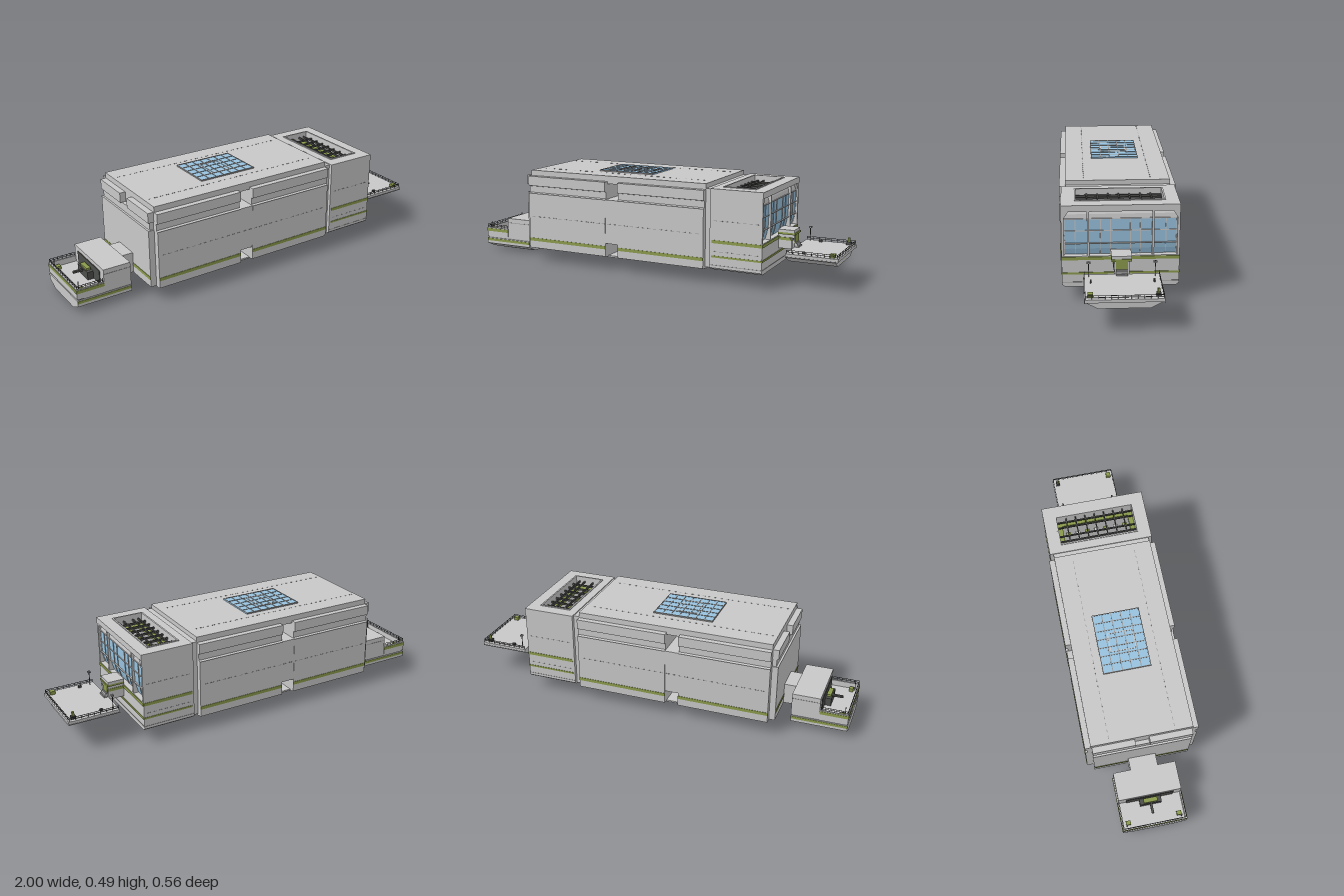
import * as THREE from 'three';

const paint = (name, color) => {
  const m = new THREE.MeshStandardMaterial({ color });
  m.name = name;
  return m;
};

export function createModel() {
  const root = new THREE.Group();
  root.name = 'station';
  const grey = paint('hull grey', 0xc8c8c8);
  const trim = paint('trim grey', 0x969696);
  const dark = paint('dark grey', 0x4c4e4b);
  const green = paint('olive green', 0x8a9a4c);
  const blue = paint('window blue', 0x98c2de);

  const add = (name, mat, geo) => {
    const mesh = new THREE.Mesh(geo, mat);
    mesh.name = name;
    root.add(mesh);
    return mesh;
  };
  // box given by its limits
  const box = (name, mat, x0, x1, y0, y1, z0, z1) =>
    add(name, mat, new THREE.BoxGeometry(x1 - x0, y1 - y0, z1 - z0)
      .translate((x0 + x1) / 2, (y0 + y1) / 2, (z0 + z1) / 2));
  const shapeOf = (pts) => new THREE.Shape(pts.map(([a, b]) => new THREE.Vector2(a, b)));
  // half section of [z, y] points, mirrored and run along x
  const prismX = (name, mat, half, x0, x1) => {
    const pts = [...half, ...half.map(([z, y]) => [-z, y]).reverse()];
    return add(name, mat, new THREE.ExtrudeGeometry(shapeOf(pts), { depth: x1 - x0, bevelEnabled: false })
      .rotateY(Math.PI / 2).translate(x0, 0, 0));
  };
  // section of [x, y] points run along z
  const prismZ = (name, mat, pts, z0, z1) =>
    add(name, mat, new THREE.ExtrudeGeometry(shapeOf(pts), { depth: z1 - z0, bevelEnabled: false })
      .translate(0, 0, z0));
  // flat rectangle with a rectangular opening, run along y
  const ring = (name, mat, [x0, x1, z], [hx0, hx1, hz], y0, y1) => {
    const s = shapeOf([[x0, -z], [x1, -z], [x1, z], [x0, z]]);
    s.holes.push(shapeOf([[hx0, -hz], [hx0, hz], [hx1, hz], [hx1, -hz]]));
    return add(name, mat, new THREE.ExtrudeGeometry(s, { depth: y1 - y0, bevelEnabled: false })
      .rotateX(-Math.PI / 2).translate(0, y0, 0));
  };
  const sides = [-1, 1];
  // thin plate on both long sides
  const sidePlates = (name, mat, x0, x1, y0, y1, z, t = 0.002) => {
    for (const s of sides) box(name, mat, x0, x1, y0, y1, s * z - t, s * z + t);
  };
  const dashes = (name, x0, x1, n, y, z) => {
    const step = (x1 - x0) / n;
    for (let i = 0; i < n; i++) sidePlates(name, trim, x0 + i * step, x0 + (i + 0.55) * step, y, y + 0.003, z, 0.001);
  };

  // Main hall, split by a narrow slot
  const hall = [[0.265, 0.068], [0.278, 0.072], [0.278, 0.365], [0.267, 0.369], [0.267, 0.402],
    [0.278, 0.405], [0.278, 0.455]];
  prismX('hallRear', grey, hall, -0.63, -0.17);
  prismX('hallFront', grey, hall, -0.10, 0.37);
  box('slotWall', grey, -0.17, -0.10, 0.14, 0.365, -0.276, 0.276);
  box('slotCeiling', grey, -0.17, -0.10, 0.443, 0.456, -0.25, 0.25);
  box('hallFloor', grey, -0.62, 0.37, 0.064, 0.072, -0.25, 0.25);
  box('hallRoof', grey, -0.63, 0.37, 0.455, 0.483, -0.25, 0.25);
  for (const [a, b] of [[-0.63, -0.17], [-0.10, 0.37]]) {
    sidePlates('hallStripe', green, a, b, 0.11, 0.126, 0.278);
    sidePlates('hallLip', trim, a, b, 0.362, 0.365, 0.278, 0.001);
  }
  dashes('hallSeam', -0.61, 0.36, 30, 0.24, 0.278);
  for (const z of [-0.16, 0.16])
    for (let i = 0; i < 30; i++)
      box('roofSeam', trim, -0.61 + i * 0.032, -0.595 + i * 0.032, 0.482, 0.484, z, z + 0.003);

  // Rear wall with groove and notch
  box('rearWall', grey, -0.66, -0.63, 0.072, 0.365, -0.245, 0.245);
  box('rearGroove', grey, -0.65, -0.63, 0.365, 0.405, -0.24, 0.24);
  for (const s of sides)
    box('rearUpperWall', grey, -0.66, -0.63, 0.405, 0.455, s > 0 ? 0.035 : -0.245, s > 0 ? 0.245 : -0.035);
  box('rearStripe', green, -0.662, -0.658, 0.11, 0.126, -0.245, 0.245);

  // Skylight
  box('skylightGlass', blue, -0.29, 0.017, 0.483, 0.488, -0.12, 0.115);
  for (let i = 0; i <= 7; i++) {
    const x = -0.29 + i * 0.0435;
    box('skylightBar', trim, x - 0.002, x + 0.002, 0.483, 0.49, -0.12, 0.115);
  }
  for (let i = 0; i <= 5; i++) {
    const z = -0.12 + i * 0.047;
    box('skylightBar', trim, -0.292, 0.017, 0.483, 0.49, z - 0.002, z + 0.002);
  }
  ring('skylightInnerFrame', grey, [-0.19, -0.09, 0.065], [-0.186, -0.094, 0.061], 0.483, 0.49);

  // Joint and front block
  box('joint', grey, 0.37, 0.40, 0.075, 0.46, -0.25, 0.25);
  prismX('frontBase', grey, [[0.255, 0.07], [0.268, 0.08], [0.268, 0.22]], 0.40, 0.665);
  box('frontCore', grey, 0.40, 0.60, 0.22, 0.395, -0.268, 0.268);
  for (const s of sides)
    box('cornerWall', grey, 0.60, 0.665, 0.22, 0.435, s > 0 ? 0.256 : -0.268, s > 0 ? 0.268 : -0.256);
  ring('roofWell', grey, [0.40, 0.64, 0.268], [0.45, 0.60, 0.20], 0.395, 0.435);
  ring('frontRoof', grey, [0.40, 0.667, 0.268], [0.45, 0.60, 0.20], 0.435, 0.465);
  ring('wellLip', grey, [0.442, 0.608, 0.208], [0.45, 0.60, 0.20], 0.465, 0.469);
  sidePlates('upperStripe', green, 0.41, 0.665, 0.202, 0.217, 0.268);
  sidePlates('lowerStripe', green, 0.41, 0.665, 0.132, 0.141, 0.268);
  box('frontStripe', green, 0.663, 0.668, 0.202, 0.217, -0.268, 0.268);
  box('frontLowerStripe', green, 0.663, 0.668, 0.132, 0.141, -0.268, 0.268);
  dashes('frontSeam', 0.42, 0.66, 8, 0.31, 0.268);
  dashes('frontSeam', 0.42, 0.66, 8, 0.16, 0.268);
  sidePlates('frontLedge', trim, 0.40, 0.665, 0.092, 0.095, 0.268, 0.001);
  box('frontSill', trim, 0.662, 0.667, 0.091, 0.094, -0.268, 0.268);

  // Lattice in the roof well
  box('wellFloor', trim, 0.45, 0.60, 0.394, 0.398, -0.20, 0.20);
  for (const x of [0.451, 0.574]) box('wellEdge', green, x, x + 0.025, 0.398, 0.41, -0.20, 0.20);
  for (const z of [-0.20, 0.175]) box('wellEnd', green, 0.45, 0.60, 0.398, 0.41, z, z + 0.025);
  for (let i = 1; i < 8; i++) {
    const z = -0.20 + i * 0.05;
    box('wellCrossBeam', dark, 0.45, 0.60, 0.435, 0.445, z - 0.003, z + 0.003);
    box('wellLamp', i % 2 ? green : grey, 0.515, 0.535, 0.398, 0.408, z - 0.012, z + 0.012);
  }
  for (const x of [0.47, 0.5, 0.55, 0.58])
    box('wellLongBeam', dark, x - 0.003, x + 0.003, 0.435, 0.445, -0.20, 0.20);

  // Great window, curving in at the foot
  const pane = (d) => [[0.59, 0.22], [0.637 + d, 0.22], [0.646 + d, 0.25], [0.652 + d, 0.285],
    [0.654 + d, 0.34], [0.654 + d, 0.397], [0.59, 0.397]];
  prismZ('frontGlass', blue, pane(0), -0.256, 0.256);
  prismZ('windowCove', grey, [[0.62, 0.397], [0.654, 0.397], [0.65, 0.418], [0.64, 0.436], [0.62, 0.436]], -0.256, 0.256);
  for (const z of [0.045, 0.09, 0.205, 0.254])
    for (const s of sides) prismZ('mullion', grey, pane(0.003), s * z - 0.002, s * z + 0.002);
  for (const y of [0.278, 0.34, 0.397]) box('transom', grey, 0.64, 0.658, y - 0.002, y + 0.002, -0.256, 0.256);
  for (const s of sides) box('windowColumn', grey, 0.635, 0.664, 0.22, 0.436, s * 0.147 - 0.005, s * 0.147 + 0.005);
  // Sloped gussets in the upper window corners
  for (const s of sides) {
    const pts = [[s * -0.258, 0.436], [s * -0.258, 0.40], [s * -0.235, 0.436]];
    add('windowGusset', grey, new THREE.ExtrudeGeometry(shapeOf(pts), { depth: 0.03, bevelEnabled: false })
      .rotateY(Math.PI / 2).translate(0.634, 0, 0));
  }

  // Front gangway with its door and steps
  box('gangway', grey, 0.665, 0.745, 0.155, 0.235, -0.036, 0.032);
  box('gangwayRoof', grey, 0.665, 0.748, 0.238, 0.252, -0.046, 0.046);
  box('gangwayLintel', green, 0.665, 0.752, 0.228, 0.238, -0.046, 0.046);
  sidePlates('gangwayStripe', green, 0.668, 0.745, 0.198, 0.212, 0.036);
  box('gangwayDoor', green, 0.744, 0.749, 0.187, 0.228, -0.028, 0.025);
  for (let i = 0; i < 3; i++)
    box('gangwayStep', i % 2 ? grey : trim, 0.744, 0.766 - i * 0.006, 0.165 + i * 0.008, 0.173 + i * 0.008, -0.026, 0.025);

  // Railing along a straight run between two points
  const rail = (x0, z0, x1, z1, y, h, n) => {
    for (const k of [0.55, 1])
      box('handrail', dark, Math.min(x0, x1) - 0.001, Math.max(x0, x1) + 0.001, y + h * k - 0.002, y + h * k,
        Math.min(z0, z1) - 0.001, Math.max(z0, z1) + 0.001);
    for (let i = 0; i <= n; i++) {
      const x = x0 + (x1 - x0) * i / n, z = z0 + (z1 - z0) * i / n;
      box('railPost', dark, x - 0.001, x + 0.001, y, y + h, z - 0.001, z + 0.001);
    }
  };

  // Front landing deck
  prismX('frontDeck', grey, [[0.113, 0.116], [0.17, 0.147], [0.172, 0.165]], 0.745, 0.985);
  box('frontDeckEdge', grey, 0.745, 1.0, 0.15, 0.165, -0.17, 0.17);
  sidePlates('deckTrim', trim, 0.745, 1.0, 0.147, 0.151, 0.17);
  for (const s of sides) {
    rail(0.75, s * 0.167, 0.995, s * 0.167, 0.165, 0.018, 8);
    box('mast', dark, 0.769, 0.772, 0.165, 0.24, s * 0.148 - 0.0015, s * 0.148 + 0.0015);
    box('mastLamp', trim, 0.764, 0.777, 0.231, 0.238, s * 0.148 - 0.008, s * 0.148 + 0.008);
    box('deckCleat', dark, 0.82, 0.835, 0.165, 0.176, s * 0.14 - 0.004, s * 0.14 + 0.004);
  }
  rail(0.995, -0.167, 0.995, 0.167, 0.165, 0.018, 12);
  box('crate', green, 0.955, 0.98, 0.165, 0.182, 0.133, 0.157);
  box('hoistBase', dark, 0.957, 0.98, 0.165, 0.18, -0.155, -0.135);
  box('hoist', green, 0.963, 0.974, 0.18, 0.2, -0.15, -0.14);

  // Rear dock hull
  prismX('dockHull', grey, [[0.105, 0.008], [0.163, 0.035], [0.163, 0.065]], -1.0, -0.72);
  box('dockKeel', trim, -0.97, -0.74, 0, 0.009, -0.08, 0.08);
  sidePlates('dockLowerStripe', green, -1.0, -0.72, 0.05, 0.063, 0.163);
  box('dockGroove', trim, -0.995, -0.72, 0.065, 0.072, -0.158, 0.158);
  box('dockDeck', grey, -0.995, -0.86, 0.072, 0.095, -0.158, 0.158);
  box('dockBackWall', grey, -1.0, -0.992, 0.072, 0.125, -0.163, 0.163);
  for (const s of sides) {
    box('dockSideWall', grey, -1.0, -0.86, 0.072, 0.125, s * 0.159 - 0.004, s * 0.159 + 0.004);
    rail(-0.996, s * 0.16, -0.865, s * 0.16, 0.125, 0.018, 6);
    box('dockMast', dark, -0.982, -0.979, 0.095, 0.155, s * 0.14 - 0.0015, s * 0.14 + 0.0015);
    box('dockCrate', green, -0.975, -0.955, 0.095, 0.112, s * 0.13 - 0.012, s * 0.13 + 0.012);
  }
  rail(-0.996, -0.16, -0.996, 0.16, 0.125, 0.018, 12);
  sidePlates('dockStripe', green, -1.0, -0.86, 0.104, 0.12, 0.163);
  box('dockBackStripe', green, -1.002, -0.998, 0.104, 0.12, -0.163, 0.163);

  // Dock house and passage to the hall
  box('dockHouse', grey, -0.86, -0.72, 0.072, 0.186, -0.16, 0.16);
  sidePlates('houseSeam', trim, -0.86, -0.72, 0.16, 0.163, 0.16, 0.001);
  box('houseOpening', dark, -0.864, -0.859, 0.095, 0.165, -0.12, 0.12);
  box('passage', grey, -0.72, -0.66, 0.075, 0.18, -0.07, 0.07);
  // Loading machine on the dock
  box('machineBody', dark, -0.895, -0.865, 0.095, 0.135, -0.055, 0.055);
  box('machineTop', green, -0.89, -0.868, 0.135, 0.146, -0.035, 0.035);
  box('machineArm', dark, -0.945, -0.88, 0.122, 0.132, -0.006, 0.006);

  return root;
}
